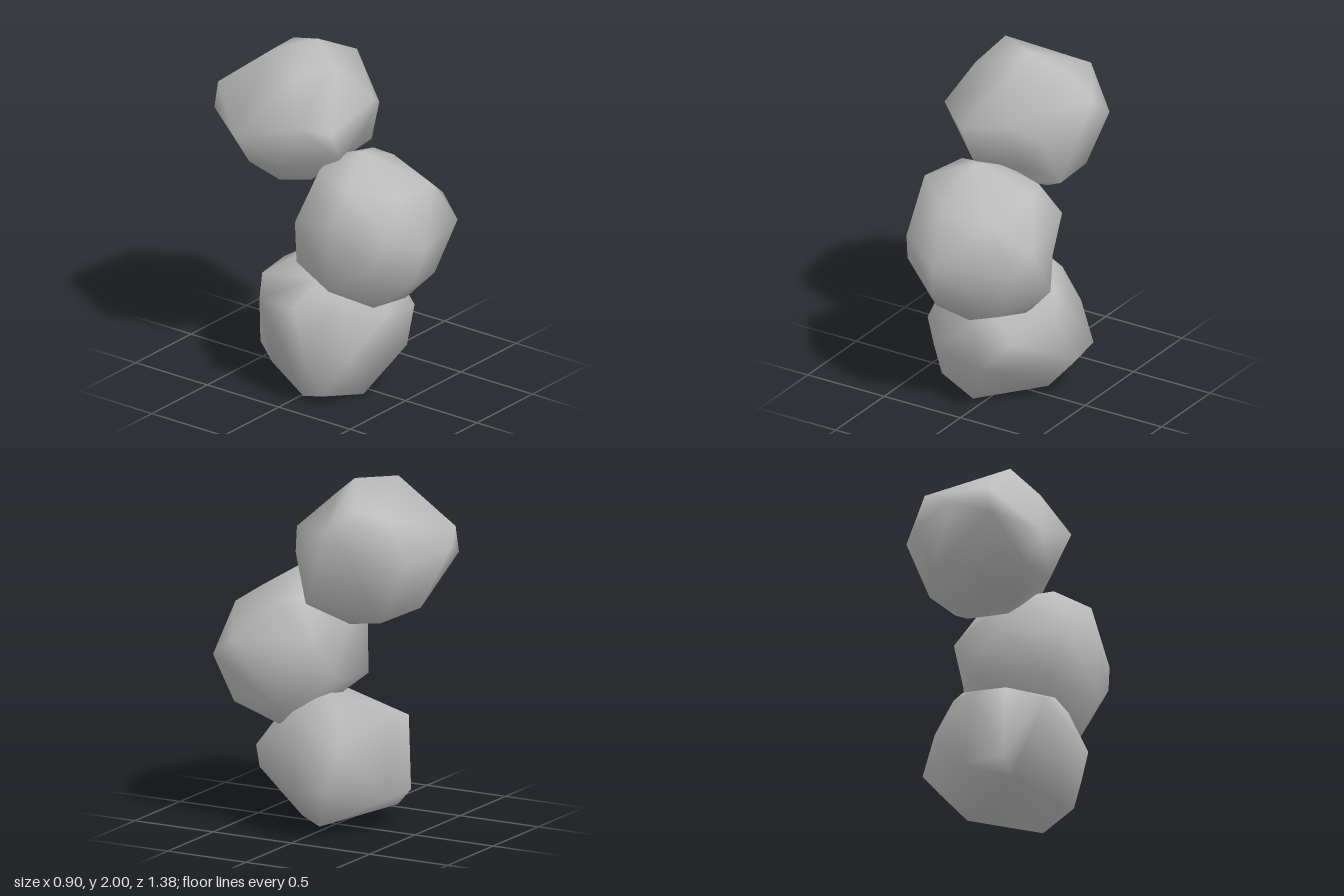
import * as THREE from 'three';
import { ConvexGeometry } from 'three/addons/geometries/ConvexGeometry.js';
import { mergeVertices } from 'three/addons/utils/BufferGeometryUtils.js';

const stoneGrey = new THREE.MeshStandardMaterial({ color: 0xbcbcbc });
stoneGrey.name = 'stoneGrey';

// A smooth-shaded boulder from its corner points. The hull is found with radii
// evened out (square root) and then restored, so shallow dents survive.
function stone(name, centre, corners) {
  const middle = new THREE.Vector3(...centre);
  const evened = corners.map((c) => {
    const p = new THREE.Vector3(...c).sub(middle);
    return p.multiplyScalar(1 / Math.sqrt(p.length()));
  });
  let geometry = new ConvexGeometry(evened);
  geometry.deleteAttribute('normal');
  geometry = mergeVertices(geometry, 1e-4);
  const position = geometry.attributes.position;
  const p = new THREE.Vector3();
  for (let i = 0; i < position.count; i++) {
    p.fromBufferAttribute(position, i);
    p.multiplyScalar(p.length());
    position.setXYZ(i, p.x, p.y, p.z);
  }
  geometry.computeVertexNormals();
  const mesh = new THREE.Mesh(geometry, stoneGrey);
  mesh.name = name;
  mesh.position.copy(middle);
  return mesh;
}

export function createModel() {
  const group = new THREE.Group();
  group.name = 'stackedStones';

  // Bottom stone, with a raised corner at the left
  group.add(stone('bottomStone', [0, 0.36, 0.02], [
    [-0.33, 0.02, 0.04], [-0.33, 0.05, 0.17], [-0.07, 0, 0.26], [0.24, 0.04, -0.03],
    [-0.21, 0.1, -0.27], [0.05, 0.2, -0.37], [-0.2, 0.2, -0.36],
    [0.45, 0.27, 0.02], [0.44, 0.3, -0.18], [0.09, 0.29, 0.44],
    [-0.28, 0.3, 0.33], [-0.45, 0.35, 0.13], [0.25, 0.46, 0.37], [0, 0.49, 0.38],
    [0.34, 0.52, -0.21], [0.35, 0.5, 0.06], [-0.39, 0.56, -0.22], [-0.39, 0.56, 0.02],
    [-0.25, 0.64, 0.25], [-0.21, 0.62, -0.34], [0, 0.645, -0.35], [0.05, 0.63, 0.31],
    [-0.25, 0.72, 0.1], [0.255, 0.73, -0.15], [0.34, 0.7, 0.06], [0.24, 0.8, -0.08],
  ]));

  // Middle stone, leaning out to the front
  group.add(stone('middleStone', [0, 1, 0.28], [
    [0.04, 0.6, 0.47], [0.25, 0.59, 0.2], [-0.2, 0.61, 0.43], [-0.15, 0.63, 0.2],
    [0.05, 0.72, 0], [0.25, 0.69, 0.51], [0.38, 0.74, 0.17], [-0.41, 0.74, 0.28],
    [-0.11, 0.77, 0.63], [-0.3, 0.8, -0.03], [0.12, 0.86, -0.11], [0.2, 0.9, -0.1],
    [0.37, 0.95, 0.13], [-0.06, 0.98, 0.69], [-0.34, 0.9, 0.51], [0.43, 1.09, 0.43],
    [0.38, 0.98, 0.57], [-0.29, 1.09, 0.6], [-0.41, 1.11, 0.28], [-0.38, 1.08, 0.02],
    [0.33, 1.13, -0.03], [0, 1.14, -0.08], [0.2, 1.25, 0.53], [-0.1, 1.27, 0.54],
    [0.28, 1.31, 0.2], [0.25, 1.33, 0.08], [-0.01, 1.33, -0.02], [-0.25, 1.365, 0.09],
    [-0.33, 1.345, 0.35], [0, 1.39, 0.09], [-0.05, 1.45, 0.24],
  ]));

  // Top stone, set back, with a hooked lower corner and a shallow dent near the crown
  group.add(stone('topStone', [0, 1.6, -0.25], [
    [-0.07, 1.2, -0.1], [-0.22, 1.22, -0.21], [0.15, 1.195, -0.17], [0.24, 1.25, -0.42],
    [-0.17, 1.28, -0.38], [0.1, 1.33, -0.595], [0.34, 1.33, 0], [0.14, 1.38, 0.04],
    [-0.34, 1.36, -0.1], [-0.34, 1.34, -0.33], [-0.14, 1.41, 0.15], [-0.45, 1.52, -0.35],
    [-0.22, 1.58, 0.15], [0.28, 1.6, 0.1], [0.24, 1.6, -0.59], [-0.28, 1.57, -0.62],
    [-0.07, 1.65, -0.69], [0.45, 1.66, -0.33], [-0.39, 1.66, 0.05], [0.11, 1.7, 0.19],
    [-0.26, 1.72, -0.61], [0.44, 1.79, -0.18], [0.24, 1.85, -0.47], [0.24, 1.875, -0.25],
    [-0.27, 1.88, -0.08], [0, 1.89, 0], [-0.2, 1.98, -0.28], [0.04, 2, -0.14],
  ]));

  return group;
}
